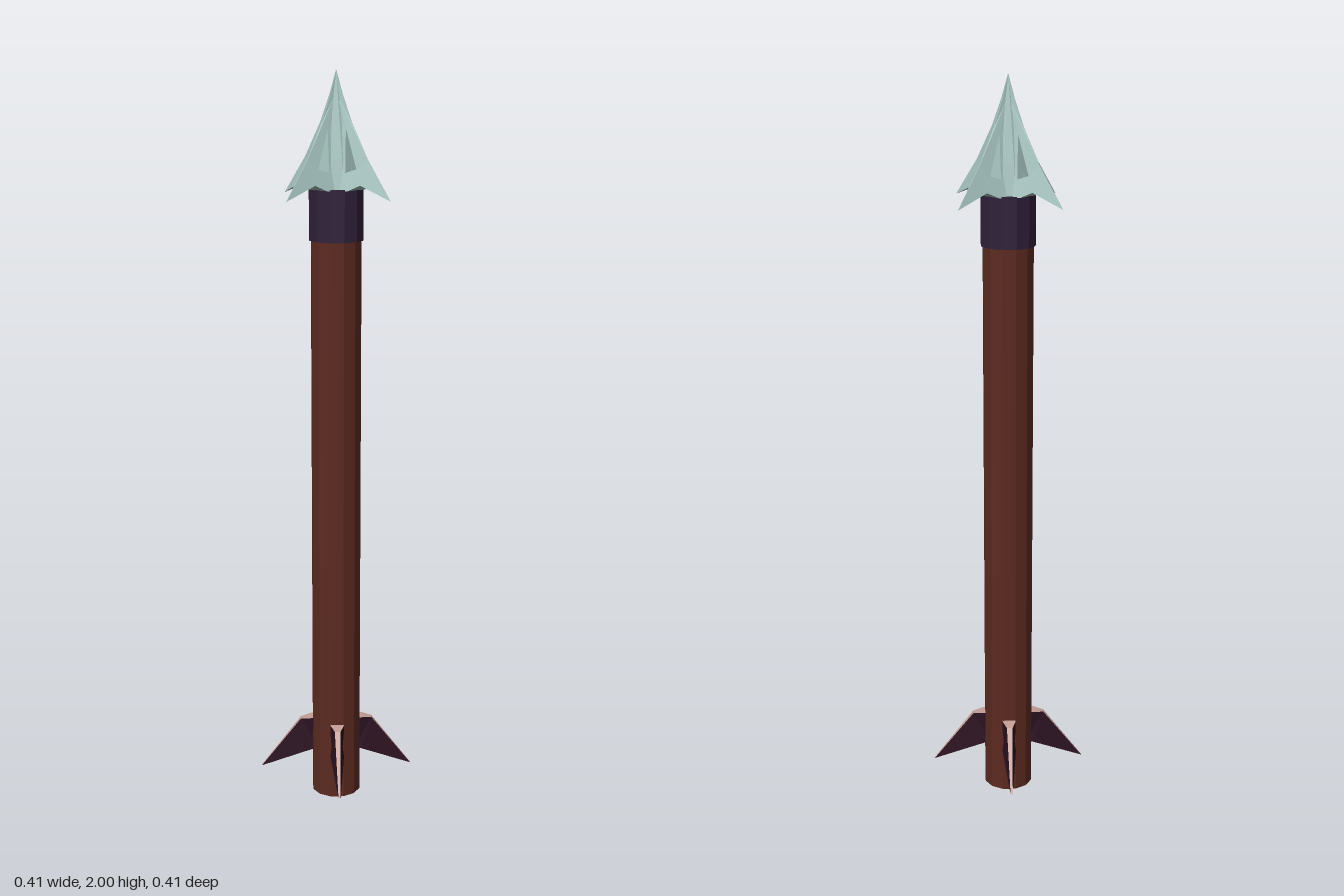
import * as THREE from 'three';

const mat = (color) => new THREE.MeshStandardMaterial({ color, flatShading: true, side: THREE.DoubleSide });
const wood = mat(0x5c2a20), band = mat(0x30203a), steel = mat(0xa6c4c0);
const finSide = mat(0x2c1322), finRim = mat(0xc29c95);

// Linear interpolation through [key, value] pairs in rising key order
function lerpTable(table, k) {
  if (k <= table[0][0]) return table[0][1];
  for (let i = 1; i < table.length; i++) {
    const [a, u] = table[i - 1], [b, v] = table[i];
    if (k <= b) return u + (v - u) * (k - a) / (b - a);
  }
  return table[table.length - 1][1];
}

// Flat plate in the (radius, height) plane whose half thickness follows a rule
function taperedPlate(outline, hole, halfThickness) {
  const pts = (list) => list.map(([r, y]) => new THREE.Vector2(r, y));
  const shape = new THREE.Shape(pts(outline));
  if (hole) shape.holes.push(new THREE.Path(pts(hole)));
  const geo = new THREE.ExtrudeGeometry(shape, { depth: 1, bevelEnabled: false });
  const p = geo.attributes.position;
  for (let i = 0; i < p.count; i++) {
    const t = halfThickness(p.getX(i), p.getY(i));
    p.setZ(i, p.getZ(i) > 0.5 ? t : -t);
  }
  geo.computeVertexNormals();
  return geo;
}

export function createModel() {
  const model = new THREE.Group();
  const add = (name, geo, material, y = 0, turn = 0) => {
    const mesh = new THREE.Mesh(geo, material);
    mesh.name = name;
    mesh.position.y = y;
    mesh.rotation.y = turn;
    model.add(mesh);
  };

  // Shaft and the band that holds the head
  add('shaft', new THREE.CylinderGeometry(0.068, 0.068, 1.6, 12), wood, 0.8);
  add('collar', new THREE.CylinderGeometry(0.073, 0.073, 0.135, 12), band, 1.635);

  // Concave spike in the middle of the head
  const spike = [[0.068, 1.69], [0.05, 1.78], [0.03, 1.87], [0.014, 1.94], [0, 2]];
  add('headCore', new THREE.LatheGeometry(spike.map(([r, y]) => new THREE.Vector2(r, y)), 12), steel);

  // Barbs: sharp along the outer edge, thick at the core, with a slot through them
  const edge = [[1.68, 0.185], [1.78, 0.108], [1.87, 0.054], [1.94, 0.022], [2, 0]];
  const barbOutline = [
    ...edge.map(([y, r]) => [r, y]),
    [0.008, 1.94], [0.02, 1.87], [0.035, 1.78], [0.045, 1.7], [0.07, 1.7], [0.1, 1.715],
  ];
  const slot = [[0.056, 1.745], [0.04, 1.86], [0.083, 1.755]];
  const barb = taperedPlate(barbOutline, slot,
    (r, y) => Math.max(0.0008, 0.34 * (lerpTable(edge, y) - r)));

  // Fins: flared at the root, thin towards the swept tip
  const finOutline = [[0.05, 0.125], [0.07, 0.125], [0.212, 0.07], [0.1, 0.215], [0.072, 0.22], [0.05, 0.22]];
  const finTaper = [[0.07, 0.019], [0.1, 0.008], [0.212, 0.003]];
  const fin = taperedPlate(finOutline, null, (r) => lerpTable(finTaper, r));

  for (let i = 0; i < 4; i++) {
    const quarter = i * Math.PI / 2;
    add(`barb${i + 1}`, barb, steel, 0, quarter + Math.PI / 6);
    add(`fin${i + 1}`, fin, [finSide, finRim], 0, quarter - Math.PI / 12);
  }
  return model;
}
